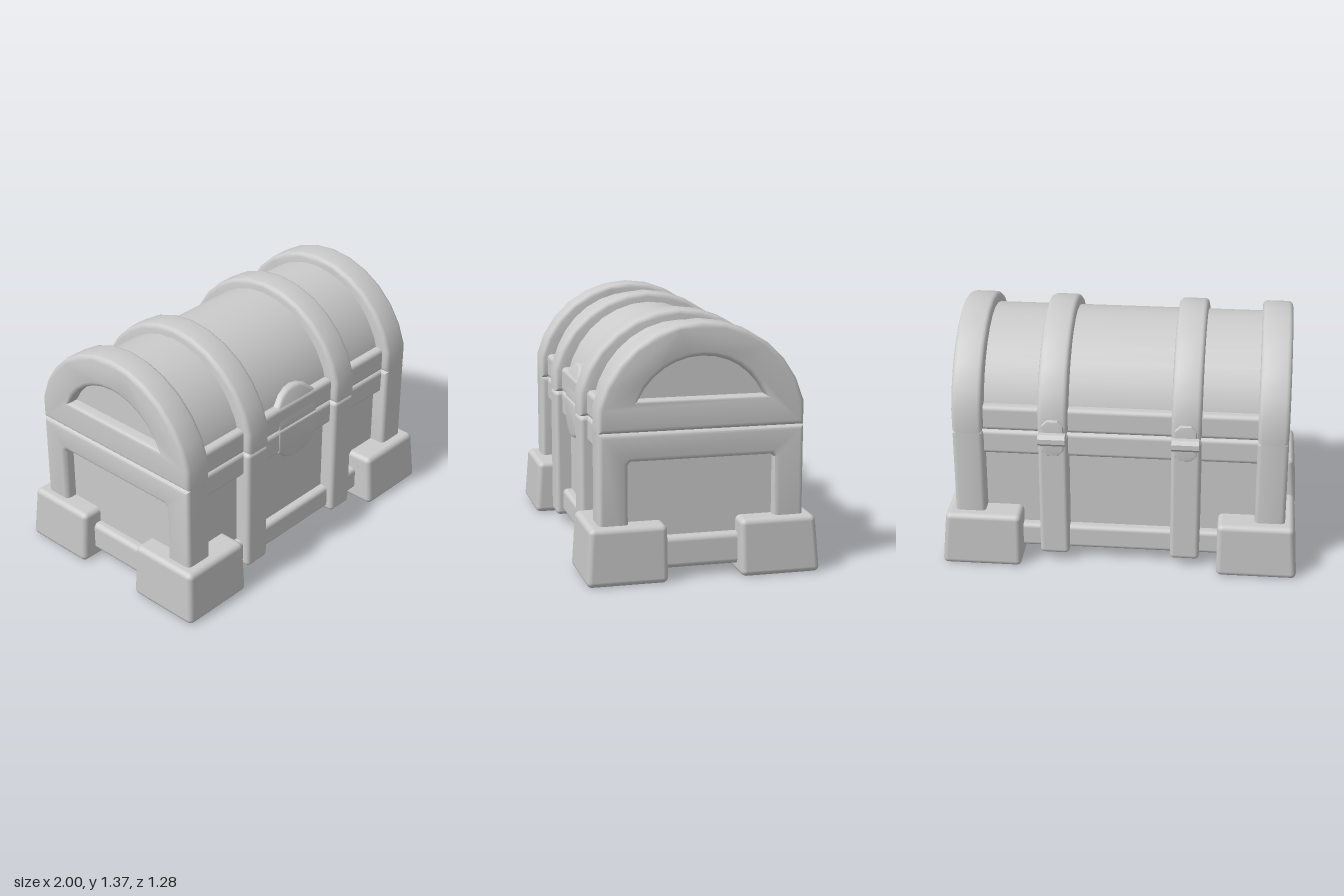
import * as THREE from 'three';
import { toCreasedNormals } from 'three/addons/utils/BufferGeometryUtils.js';
import { RoundedBoxGeometry } from 'three/addons/geometries/RoundedBoxGeometry.js';

const SEAM = 0.8;      // height where lid meets body
const ARC_Y = 0.794;   // centre of the lid arcs

export function createModel() {
  const chest = new THREE.Group();
  chest.name = 'chest';
  const material = new THREE.MeshStandardMaterial({ color: 0xcccccc });

  const add = (name, geometry) => {
    const mesh = new THREE.Mesh(geometry, material);
    mesh.name = name;
    chest.add(mesh);
    return mesh;
  };

  // Rounded box given by its limits on each axis
  const block = (name, [x0, x1], [y0, y1], [z0, z1], r = 0.025) => {
    const g = new RoundedBoxGeometry(x1 - x0, y1 - y0, z1 - z0, 3, r);
    g.translate((x0 + x1) / 2, (y0 + y1) / 2, (z0 + z1) / 2);
    return add(name, g);
  };

  // Bevelled extrusion whose outline keeps its size
  const bevelled = (shape, depth, bevel) => {
    const g = new THREE.ExtrudeGeometry(shape, {
      depth: depth - 2 * bevel, bevelEnabled: bevel > 0, bevelThickness: bevel,
      bevelSize: bevel, bevelOffset: -bevel, bevelSegments: 3, curveSegments: 12,
    });
    g.translate(0, 0, bevel);
    return g;
  };

  // Outline in the side plane, extruded from x0 to x1
  const across = (name, shape, x0, x1, bevel) => {
    const g = bevelled(shape, x1 - x0, bevel);
    g.rotateY(Math.PI / 2).translate(x0, 0, 0);
    return add(name, toCreasedNormals(g, 0.65));
  };

  // Points of an arc that starts and ends at height y
  const arc = (rz, ry, y, n = 12) => {
    const start = Math.asin((y - ARC_Y) / ry);
    return Array.from({ length: n + 1 }, (_, i) => {
      const a = start + (Math.PI - 2 * start) * i / n;
      return new THREE.Vector2(rz * Math.cos(a), ARC_Y + ry * Math.sin(a));
    });
  };

  const archShape = () => new THREE.Shape([
    new THREE.Vector2(-0.56, SEAM), new THREE.Vector2(0.56, SEAM), ...arc(0.576, 0.576, 0.93),
  ]);

  const polygon = (points) => new THREE.Shape(points.map(([x, y]) => new THREE.Vector2(x, y)));

  // Inner panels of the body and the barrel lid
  add('bodyPanels', new THREE.BoxGeometry(1.72, 0.74, 0.94).translate(0, 0.45, 0));
  across('lidShell', new THREE.Shape(arc(0.495, 0.521, SEAM, 16)), -0.86, 0.86, 0);

  // Rails along the front and back
  for (const s of [-1, 1]) {
    const side = s > 0 ? 'front' : 'back';
    const z = s > 0 ? [0.4, 0.52] : [-0.52, -0.4];
    block(side + 'LidRail', [-0.84, 0.84], [SEAM, 0.945], z);
    block(side + 'TopRail', [-0.84, 0.84], [0.655, SEAM], z);
    block(side + 'BottomRail', [-0.84, 0.84], [0.07, 0.21], z);
  }

  for (const s of [-1, 1]) {
    const side = s > 0 ? 'left' : 'right';
    const span = (a, b) => (s > 0 ? [a, b] : [-b, -a]);

    // Arched end frame of the lid with its opening
    const lidFrame = archShape();
    lidFrame.holes.push(new THREE.Path(arc(0.385, 0.396, 0.97)));
    across(side + 'LidFrame', lidFrame, ...span(0.755, 0.925), 0.025);

    // Portal-shaped end frame of the body
    across(side + 'BodyFrame', polygon([
      [-0.56, 0.05], [-0.4, 0.05], [-0.4, 0.63], [-0.385, 0.645], [0.385, 0.645],
      [0.4, 0.63], [0.4, 0.05], [0.56, 0.05], [0.56, SEAM], [-0.56, SEAM],
    ]), ...span(0.755, 0.925), 0.025);
    block(side + 'EndBottomRail', span(0.77, 0.91), [0.05, 0.225], [-0.46, 0.46], 0.03);

    // Bands over the lid and down both faces of the body
    across(side + 'LidBand', archShape(), ...span(0.285, 0.45), 0.025);
    for (const z of [[0.42, 0.56], [-0.56, -0.42]]) {
      block(side + 'BodyBand', span(0.285, 0.45), [0.05, SEAM], z);
    }

    // Corner feet, tapering upwards on their outer faces
    for (const t of [-1, 1]) {
      const g = new RoundedBoxGeometry(0.45, 0.31, 0.44, 3, 0.03);
      g.translate(s * 0.775, 0.155, t * 0.42);
      const p = g.attributes.position;
      for (let i = 0; i < p.count; i++) {
        const k = p.getY(i) / 0.31;
        if (p.getX(i) * s > 0.775) p.setX(i, p.getX(i) - s * 0.025 * k);
        if (p.getZ(i) * t > 0.42) p.setZ(i, p.getZ(i) - t * 0.022 * k);
      }
      add(side + (t > 0 ? 'Front' : 'Back') + 'Foot', g);
    }

    // Hinge: chamfered plate and octagonal barrel
    const plate = bevelled(polygon([
      [-0.06, 0.72], [-0.03, 0.69], [0.03, 0.69], [0.06, 0.72],
      [0.06, 0.87], [0.03, 0.9], [-0.03, 0.9], [-0.06, 0.87],
    ]), 0.04, 0.006);
    plate.translate(s * 0.365, 0, -0.58);
    add(side + 'HingePlate', toCreasedNormals(plate, 0.5));
    const barrel = new THREE.CylinderGeometry(0.036, 0.036, 0.15, 8);
    barrel.rotateX(0).rotateY(Math.PI / 8).rotateZ(Math.PI / 2).translate(s * 0.365, SEAM, -0.597);
    add(side + 'HingeBarrel', toCreasedNormals(barrel, 0.5));
  }

  // Lock plates swelling out of the lid rail and the body rail
  const lockPlate = (name, points, lean) => {
    const g = bevelled(polygon(points), 0.13, 0.014).translate(0, 0, 0.395);
    const p = g.attributes.position;
    for (let i = 0; i < p.count; i++) {
      p.setZ(i, p.getZ(i) - lean * Math.max(0, p.getY(i) - 0.9));
    }
    add(name, toCreasedNormals(g, 0.6));
  };
  lockPlate('upperLockPlate', [
    [-0.16, SEAM], [0.16, SEAM], [0.16, 0.94], [0.14, 0.955], [0.1, 0.992], [0.05, 1.012],
    [0, 1.018], [-0.05, 1.012], [-0.1, 0.992], [-0.14, 0.955], [-0.16, 0.94],
  ], 0.35);
  lockPlate('lowerLockPlate', [
    [-0.16, SEAM], [-0.16, 0.66], [-0.14, 0.645], [-0.1, 0.61], [-0.05, 0.594], [0, 0.588],
    [0.05, 0.594], [0.1, 0.61], [0.14, 0.645], [0.16, 0.66], [0.16, SEAM],
  ], 0);

  return chest;
}
